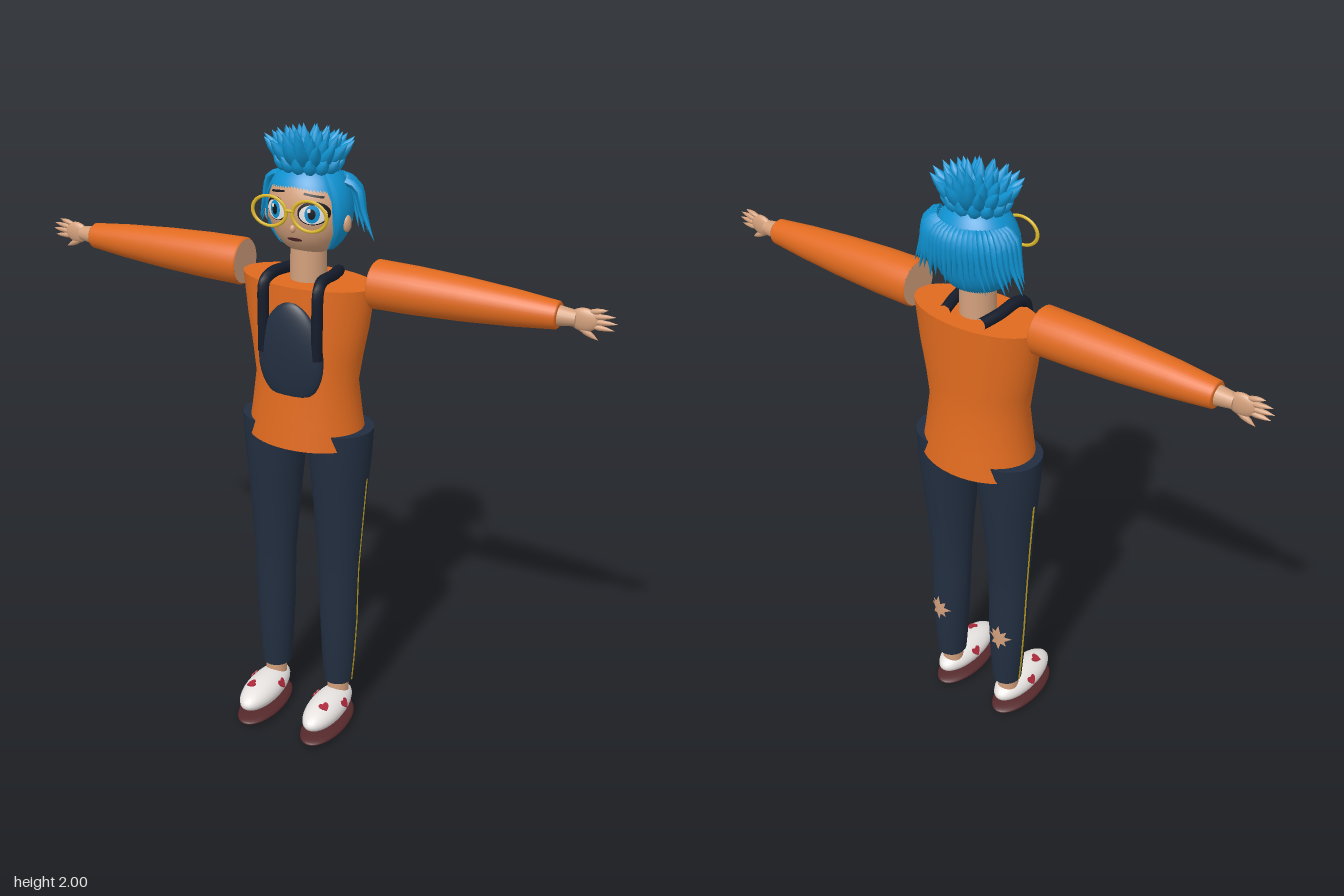
import * as THREE from 'three';

const mat = (name, color, side = THREE.FrontSide) => {
  const m = new THREE.MeshStandardMaterial({ color, side });
  m.name = name;
  return m;
};
const V = (x, y, z) => new THREE.Vector3(x, y, z);

// Elliptical loft; rows are [y, centreX, centreZ, radiusX, radiusZ] from bottom to top
function loft(rows, n = 32) {
  const pos = [], idx = [];
  const ring = (r) => {
    for (let j = 0; j < n; j++) {
      const a = (j / n) * Math.PI * 2;
      pos.push(r[1] + r[3] * Math.sin(a), r[0], r[2] + r[4] * Math.cos(a));
    }
  };
  rows.forEach(ring);
  for (let i = 0; i < rows.length - 1; i++) for (let j = 0; j < n; j++) {
    const k = (j + 1) % n, a = i * n + j, b = i * n + k;
    idx.push(a, b, b + n, a, b + n, a + n);
  }
  for (const top of [false, true]) {
    const r = top ? rows[rows.length - 1] : rows[0], start = pos.length / 3;
    ring(r);
    pos.push(r[1], r[0], r[2]);
    for (let j = 0; j < n; j++) {
      const a = start + j, b = start + (j + 1) % n;
      idx.push(start + n, top ? a : b, top ? b : a);
    }
  }
  const g = new THREE.BufferGeometry();
  g.setAttribute('position', new THREE.Float32BufferAttribute(pos, 3));
  g.setIndex(idx);
  g.computeVertexNormals();
  return g;
}

// Moves every vertex of a geometry by a rule
function bend(g, rule) {
  const p = g.attributes.position, v = V(0, 0, 0);
  for (let i = 0; i < p.count; i++) {
    v.fromBufferAttribute(p, i);
    rule(v, i);
    p.setXYZ(i, v.x, v.y, v.z);
  }
  g.computeVertexNormals();
  return g;
}

// Pointed lock, petal or finger between two points
function spike(a, b, width, flat = 1) {
  const dir = b.clone().sub(a), len = dir.length();
  const pts = [[0.5, 0], [0.85, 0.2], [1, 0.45], [0.7, 0.72], [0, 1]]
    .map(([r, h]) => new THREE.Vector2(r * width, h * len));
  const g = new THREE.LatheGeometry(pts, 8).scale(1, 1, flat);
  g.applyQuaternion(new THREE.Quaternion().setFromUnitVectors(V(0, 1, 0), dir.normalize()));
  return g.translate(a.x, a.y, a.z);
}

// Curved strand narrowing to its tip
function strand(points, r) {
  const curve = new THREE.CatmullRomCurve3(points), seg = 8, sides = 6;
  return bend(new THREE.TubeGeometry(curve, seg, r, sides), (v, i) => {
    const t = Math.floor(i / (sides + 1)) / seg;
    v.lerp(curve.getPointAt(t), t * t * 0.98);
  });
}

const HEAD = { y: 1.765, z: -0.05, rx: 0.125, ry: 0.14, rz: 0.105 };
// Lays a flat shape onto the front of the face
const onFace = (g, off) => bend(g, (v) => {
  const q = 1 - (v.x / HEAD.rx) ** 2 - ((v.y - HEAD.y) / HEAD.ry) ** 2;
  v.z = HEAD.z + HEAD.rz * Math.sqrt(Math.max(q, 0)) + off;
});
const disc = (x, y, rx, ry) => new THREE.RingGeometry(0.001, 1, 28, 4).scale(rx, ry, 1).translate(x, y, 0);

// Trouser leg section rows
const legRows = (s) => [
  [0.15, 0.118, -0.047, 0.048, 0.051], [0.25, 0.118, -0.047, 0.056, 0.058],
  [0.4, 0.118, -0.046, 0.064, 0.063], [0.5, 0.117, -0.043, 0.067, 0.061],
  [0.6, 0.117, -0.041, 0.07, 0.062], [0.75, 0.116, -0.043, 0.08, 0.075],
  [0.9, 0.115, -0.044, 0.091, 0.091], [1, 0.114, -0.045, 0.101, 0.099],
  [1.09, 0.113, -0.045, 0.106, 0.103],
].map(([y, x, ...r]) => [y, s * x, ...r]);

// Wraps a flat shape around a leg at an angle from the front
const onLeg = (g, s, angle, off) => bend(g, (v) => {
  const rows = legRows(s);
  let i = 0;
  while (i < rows.length - 2 && v.y > rows[i + 1][0]) i++;
  const t = (v.y - rows[i][0]) / (rows[i + 1][0] - rows[i][0]);
  const [, cx, cz, rx, rz] = rows[i].map((c, k) => THREE.MathUtils.lerp(c, rows[i + 1][k], t));
  const a = angle + v.x / rx;
  v.set(cx + (rx + off) * Math.sin(a), v.y, cz + (rz + off) * Math.cos(a));
});

export function createModel() {
  const M = {
    orange: mat('orange cloth', 0xe06a1f), navy: mat('navy cloth', 0x222e40),
    skin: mat('skin', 0xd3a07c, THREE.DoubleSide), hair: mat('blue hair', 0x0f93d2, THREE.DoubleSide),
    white: mat('white', 0xf0ecea), yellow: mat('yellow', 0xd9b526, THREE.DoubleSide),
    black: mat('black', 0x15151a), maroon: mat('maroon', 0x55282b),
    red: mat('red', 0xb02a3c, THREE.DoubleSide), strap: mat('dark strap', 0x151c2b),
  };
  const root = new THREE.Group();
  root.name = 'figure';
  const add = (name, g, m, parent = root) => {
    const mesh = new THREE.Mesh(g, m);
    mesh.name = name;
    parent.add(mesh);
    return mesh;
  };
  const ball = (x, y, z, rx, ry, rz) => new THREE.SphereGeometry(1, 32, 20).scale(rx, ry, rz).translate(x, y, z);

  // Sweater, neck and chest pouch
  add('sweater', loft([
    [1.04, 0, -0.042, 0.196, 0.143], [1.12, 0, -0.041, 0.182, 0.134], [1.24, 0, -0.04, 0.167, 0.12],
    [1.32, 0, -0.042, 0.18, 0.117], [1.42, 0, -0.045, 0.199, 0.115], [1.55, 0, -0.048, 0.216, 0.113],
  ], 40), M.orange);
  add('neck', new THREE.CylinderGeometry(0.054, 0.056, 0.16, 24).translate(0, 1.61, -0.047), M.skin);
  add('chestPouch', bend(ball(0, 1.345, 0.065, 0.108, 0.16, 0.032), (v) => {
    v.x *= 1 - (v.y - 1.345) * 0.8;
  }), M.navy);

  for (const s of [1, -1]) {
    const side = s > 0 ? 'left' : 'right';
    // Straps running up the chest and over the shoulder
    const path = new THREE.CatmullRomCurve3([V(s * 0.09, 1.34, 0.07), V(s * 0.09, 1.45, 0.07),
      V(s * 0.09, 1.555, 0.062), V(s * 0.085, 1.572, 0.03), V(s * 0.08, 1.567, -0.05), V(s * 0.065, 1.56, -0.12)]);
    add(side + 'Strap', new THREE.TubeGeometry(path, 30, 0.018, 8), M.strap);

    // Trouser leg with side stripe and torn calf
    add(side + 'TrouserLeg', loft(legRows(s)), M.navy);
    add(side + 'Stripe', onLeg(new THREE.PlaneGeometry(0.01, 0.77, 1, 40).translate(0, 0.537, 0), s, s * Math.PI / 2, 0.002), M.yellow);
    const jag = [1, 0.5, 0.85, 0.45, 1, 0.55, 0.8, 0.5, 1, 0.4, 0.9, 0.55, 0.95, 0.45, 0.8, 0.5];
    const tear = bend(new THREE.RingGeometry(0.001, 1, 16, 5), (v, i) => {
      const k = jag[(i % 17) % 16];
      v.set(v.x * k * 0.045, 0.37 + v.y * k * 0.055, 0);
    });
    add(side + 'Tear', onLeg(tear, s, Math.PI - s * 0.1, 0.003), M.skin);

    // Ankle, shoe, sole and heart patches
    add(side + 'Ankle', new THREE.CylinderGeometry(0.036, 0.036, 0.1, 20).translate(s * 0.119, 0.12, -0.042), M.skin);
    add(side + 'Shoe', ball(s * 0.12, 0.08, 0.037, 0.06, 0.046, 0.141), M.white);
    add(side + 'Sole', ball(s * 0.12, 0.018, 0.037, 0.069, 0.018, 0.147), M.maroon);
    const heart = new THREE.Shape().moveTo(0, -0.018)
      .bezierCurveTo(-0.03, 0.004, -0.014, 0.024, 0, 0.009).bezierCurveTo(0.014, 0.024, 0.03, 0.004, 0, -0.018);
    for (const [dx, dy, dz] of [[0.9, 0.42, -0.12], [-0.9, 0.42, -0.12], [0.3, 0.85, 0.42]]) {
      const g = new THREE.ExtrudeGeometry(heart, { depth: 0.004, bevelEnabled: false, curveSegments: 6 });
      const h = add(side + 'Heart', g, M.red);
      h.position.set(s * (0.12 + 0.06 * dx), 0.08 + 0.046 * dy, 0.037 + 0.141 * dz);
      h.lookAt(h.position.clone().add(V(s * dx / 0.06, dy / 0.046, dz / 0.141)));
    }

    // Sleeve, shoulder end and hand, built along +x then turned
    const arm = new THREE.Group();
    arm.name = side + 'Arm';
    arm.position.set(0, 1.565, -0.047);
    arm.rotation.y = s > 0 ? 0 : Math.PI;
    root.add(arm);
    const sleeve = [[0.068, 0.219], [0.073, 0.225], [0.071, 0.35], [0.064, 0.5], [0.053, 0.65], [0.04, 0.775], [0.036, 0.78], [0, 0.78]];
    add('sleeve', new THREE.LatheGeometry(sleeve.map((p) => new THREE.Vector2(...p)), 32).rotateZ(-Math.PI / 2), M.orange, arm);
    add('shoulderEnd', new THREE.CircleGeometry(0.068, 28).rotateY(-Math.PI / 2).translate(0.219, 0, 0), M.skin, arm);
    add('wrist', new THREE.CylinderGeometry(0.022, 0.03, 0.06, 16).rotateZ(-Math.PI / 2).translate(0.8, 0, 0), M.skin, arm);
    add('palm', ball(0.85, 0, 0, 0.042, 0.034, 0.015), M.skin, arm);
    for (const [y0, x1, y1] of [[0.024, 0.915, 0.037], [0.011, 0.938, 0.021], [-0.002, 0.945, 0.002], [-0.014, 0.937, -0.018]])
      add('finger', spike(V(0.86, y0, 0), V(x1, y1, 0), 0.0085), M.skin, arm);
    add('thumb', spike(V(0.83, -0.018, 0), V(0.895, -0.053, 0), 0.01), M.skin, arm);

    // Ear, eye, brow and spectacle ring
    add(side + 'Ear', ball(s * 0.129, 1.735, -0.04, 0.012, 0.026, 0.017), M.skin);
    const ex = s * 0.06;
    add(side + 'EyeOutline', onFace(disc(ex, 1.775, 0.043, 0.034), 0.002), M.black);
    add(side + 'EyeWhite', onFace(disc(ex, 1.772, 0.037, 0.028), 0.004), M.white);
    add(side + 'Iris', onFace(disc(ex, 1.774, 0.02, 0.026), 0.006), M.hair);
    add(side + 'Pupil', onFace(disc(ex, 1.774, 0.01, 0.015), 0.008), M.black);
    add(side + 'EyeGlint', onFace(disc(ex - 0.007, 1.785, 0.005, 0.006), 0.0095), M.white);
    add(side + 'Brow', onFace(new THREE.PlaneGeometry(0.055, 0.006, 10, 1).rotateZ(-s * 0.18).translate(s * 0.058, 1.825, 0), 0.004), M.black);
    add(side + 'GlassesRing', new THREE.TorusGeometry(0.055, 0.006, 10, 40).scale(1, 0.8, 0.7).translate(s * 0.065, 1.775, 0.073), M.yellow);
  }
  add('glassesBridge', new THREE.CylinderGeometry(0.005, 0.005, 0.03, 8).rotateZ(Math.PI / 2).translate(0, 1.783, 0.073), M.yellow);

  // Head, nose and mouth
  add('head', ball(0, HEAD.y, HEAD.z, HEAD.rx, HEAD.ry, HEAD.rz), M.skin);
  add('nose', ball(0, 1.725, 0.052, 0.009, 0.012, 0.01), M.skin);
  add('mouth', onFace(disc(0, 1.69, 0.024, 0.006), 0.003), M.maroon);

  // Hair cap: open over the face, full at the sides and back
  add('hairCap', bend(new THREE.SphereGeometry(1, 72, 20), (v) => {
    const phi = Math.atan2(v.x, v.z), th = Math.acos(THREE.MathUtils.clamp(v.y, -1, 1));
    const low = THREE.MathUtils.lerp(1.02 + 0.1 * Math.abs(phi), 2.5, THREE.MathUtils.smoothstep(Math.abs(phi), 0.9, 1.15));
    const t = (th / Math.PI) * low;
    v.set(0.133 * Math.sin(t) * Math.sin(phi), HEAD.y + 0.147 * Math.cos(t), -0.052 + 0.115 * Math.sin(t) * Math.cos(phi));
  }), M.hair);

  // Curtain of loose strands around the back
  const count = 27;
  for (let i = 0; i < count; i++) {
    const a = THREE.MathUtils.lerp(1.75, Math.PI * 2 - 1.75, i / (count - 1));
    const at = (r, rz, y) => V(r * Math.sin(a), y, -0.052 + rz * Math.cos(a));
    const drop = (i % 3) * 0.012;
    add('hairStrand', strand([at(0.11, 0.095, 1.85), at(0.145, 0.118, 1.835), at(0.168, 0.124, 1.76),
      at(0.205 - drop, 0.115, 1.682 + drop)], 0.013), M.hair);
  }

  // Topknot with rings of pointed petals
  add('topknot', ball(0, 1.9, -0.048, 0.085, 0.035, 0.075), M.hair);
  const rings = [[14, 0.06, 1.875, 0.112, 1.925, 0.02], [16, 0.06, 1.89, 0.138, 1.972, 0.018],
    [13, 0.05, 1.9, 0.1, 1.99, 0.017], [9, 0.03, 1.91, 0.06, 2, 0.015], [5, 0.01, 1.91, 0.02, 1.97, 0.014]];
  rings.forEach(([n, r0, y0, r1, y1, w], k) => {
    for (let i = 0; i < n; i++) {
      const a = ((i + k * 0.5) / n) * Math.PI * 2;
      const at = (r, y) => V(r * Math.sin(a), y, -0.048 + 0.82 * r * Math.cos(a));
      add('topknotPetal', spike(at(r0, y0), at(r1, y1), w), M.hair);
    }
  });
  return root;
}
